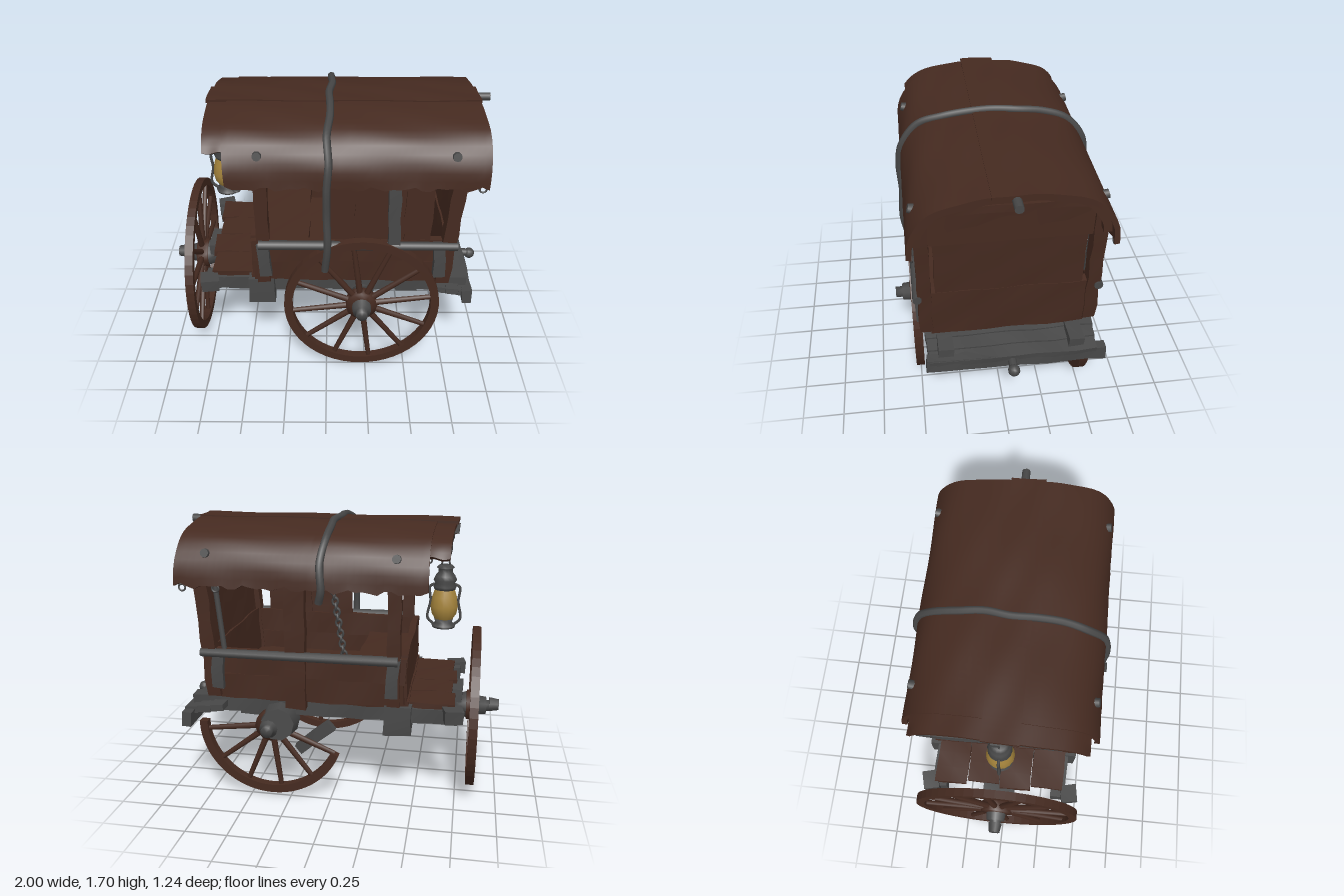
import * as THREE from 'three';

const wood = new THREE.MeshStandardMaterial({ name: 'dark red wood', color: 0x452a20 });
const iron = new THREE.MeshStandardMaterial({ name: 'grey weathered timber and iron', color: 0x474747 });
const glass = new THREE.MeshStandardMaterial({ name: 'amber glass', color: 0xa5843c, side: THREE.DoubleSide });
const V = (x, y, z) => new THREE.Vector3(x, y, z);

function add(parent, name, geo, mat) {
  const m = new THREE.Mesh(geo, mat);
  m.name = name;
  parent.add(m);
  return m;
}

// Weathered plank: a box whose outline wavers along its length
function plank(parent, name, mat, [x, y, z], [sx, sy, sz], rot = [0, 0, 0], wear = 0.004) {
  const n = s => Math.max(1, Math.round(s / 0.12));
  const geo = new THREE.BoxGeometry(sx, sy, sz, n(sx), n(sy), n(sz));
  const p = geo.attributes.position;
  for (let i = 0; i < p.count; i++) {
    const a = p.getX(i), b = p.getY(i), c = p.getZ(i);
    const w = k => wear * Math.sin(17 * (a + x) * k + 23 * (b + y) + 13 * (c + z) * k + k * 3);
    p.setXYZ(i, a + w(1), b + w(1.3), c + w(0.7));
  }
  geo.computeVertexNormals();
  const m = add(parent, name, geo, mat);
  m.position.set(x, y, z);
  m.rotation.set(...rot);
  return m;
}

function tube(parent, name, mat, pts, r, sides = 7) {
  const curve = new THREE.CatmullRomCurve3(pts);
  return add(parent, name, new THREE.TubeGeometry(curve, pts.length * 6, r, sides), mat);
}

// Round bar between two points, with closed ends
function bar(parent, name, mat, a, b, r, r2 = r, sides = 9) {
  const m = add(parent, name, new THREE.CylinderGeometry(r2, r, a.distanceTo(b), sides), mat);
  m.position.copy(a).add(b).multiplyScalar(0.5);
  m.quaternion.setFromUnitVectors(V(0, 1, 0), b.clone().sub(a).normalize());
  return m;
}

function lathe(parent, name, mat, pts, sides = 14) {
  return add(parent, name, new THREE.LatheGeometry(pts.map(p => new THREE.Vector2(...p)), sides), mat);
}

// Spoked wheel facing +z; a partial arc gives a broken one
function wheel(parent, name, R, from = 0, arc = Math.PI * 2) {
  const g = new THREE.Group();
  g.name = name;
  const s = new THREE.Shape();
  s.absarc(0, 0, R, from, from + arc, false);
  s.absarc(0, 0, R - 0.05, from + arc, from, true);
  const rim = new THREE.ExtrudeGeometry(s, { depth: 0.05, bevelEnabled: false, curveSegments: 26 });
  add(g, 'rim', rim.translate(0, 0, -0.025), wood);
  for (let i = 0; i < 12; i++) {
    const a = 0.13 + i * Math.PI / 6;
    if (arc < 6 && (a < from || a > from + arc)) continue;
    const d = V(Math.cos(a), Math.sin(a), 0);
    bar(g, 'spoke', wood, d.clone().multiplyScalar(0.05), d.clone().multiplyScalar(R - 0.03), 0.02, 0.015, 7);
  }
  lathe(g, 'hub', iron, [[0, -0.12], [0.06, -0.12], [0.085, -0.04], [0.085, 0.02], [0.06, 0.03],
    [0.055, 0.08], [0.035, 0.085], [0.035, 0.125], [0, 0.125]], 12).rotation.x = Math.PI / 2;
  lathe(g, 'hubCollar', wood, [[0.08, -0.045], [0.095, -0.04], [0.095, 0.03], [0.055, 0.035]], 12).rotation.x = Math.PI / 2;
  parent.add(g);
  return g;
}

// Arched roof section, from the front eave over to the back eave
const arch = new THREE.CatmullRomCurve3([V(0, 1.33, 0.515), V(0, 1.46, 0.495), V(0, 1.57, 0.42), V(0, 1.635, 0.24),
  V(0, 1.655, -0.03), V(0, 1.635, -0.29), V(0, 1.57, -0.46), V(0, 1.46, -0.54), V(0, 1.33, -0.56)]);

// Sheet bent over the arch, between t0 and t1, with torn eaves
function archSheet(parent, name, x0, x1, t0, t1, thick, lift, tear) {
  const geo = new THREE.BoxGeometry(x1 - x0, 1, thick, 36, 30, 1);
  const p = geo.attributes.position;
  for (let i = 0; i < p.count; i++) {
    const x = p.getX(i) + (x0 + x1) / 2, k = p.getY(i) + 0.5;
    const t = t0 + (t1 - t0) * k;
    const c = arch.getPointAt(t), d = arch.getTangentAt(t);
    const o = p.getZ(i) + lift + 0.005 * Math.sin(9 * x + 14 * t) * Math.sin(21 * t);
    const edge = Math.max(0, Math.abs(k - 0.5) - 0.45) * 20;
    const rag = tear * edge * (Math.sin(31 * x) + Math.sin(53 * x + 1));
    const wav = 0.012 * Math.sin(6 * t + x) * Math.sign(x - 0.1);
    p.setXYZ(i, x + wav, c.y - d.z * o + rag, c.z + d.y * o);
  }
  geo.computeVertexNormals();
  return add(parent, name, geo, wood);
}

export function createModel() {
  const wagon = new THREE.Group();
  wagon.name = 'wagon';

  // Wheels: two side wheels, the back one broken, and one at the nose
  wheel(wagon, 'frontWheel', 0.475).position.set(0.215, 0.5, 0.5);
  const broken = wheel(wagon, 'brokenBackWheel', 0.45, Math.PI, 2.75);
  broken.position.set(0.365, 0.47, -0.49);
  broken.rotation.y = Math.PI;
  bar(wagon, 'backHubHousing', iron, V(0.32, 0.49, -0.43), V(0.31, 0.5, -0.56), 0.12, 0.1);
  const nose = wheel(wagon, 'noseWheel', 0.5);
  nose.position.set(-0.84, 0.5, -0.035);
  nose.rotation.y = -Math.PI / 2;
  nose.scale.x = 1.05;
  bar(wagon, 'noseAxleTip', iron, V(-0.94, 0.51, -0.035), V(-1, 0.51, -0.035), 0.045, 0.035);

  // Undercarriage
  bar(wagon, 'axle', iron, V(0.215, 0.5, 0.48), V(0.31, 0.5, -0.48), 0.07);
  bar(wagon, 'centrePole', iron, V(-0.82, 0.52, -0.035), V(0.8, 0.52, -0.035), 0.05);
  for (const z of [0.35, -0.41]) plank(wagon, 'sideSill', iron, [0.06, 0.575, z], [1.62, 0.09, 0.09]);
  plank(wagon, 'noseBolster', iron, [-0.4, 0.55, -0.03], [0.16, 0.18, 0.95]);
  plank(wagon, 'rearBolster', iron, [0.5, 0.56, -0.03], [0.14, 0.1, 0.84]);
  plank(wagon, 'noseBeam', iron, [-0.62, 0.59, -0.03], [0.3, 0.08, 0.2]);
  for (const z of [0.42, -0.47]) plank(wagon, 'sillEnd', iron, [-0.72, 0.6, z], [0.11, 0.08, 0.1], [0, 0.2, 0]);
  plank(wagon, 'brokenBeam', iron, [0.11, 0.38, -0.43], [0.27, 0.07, 0.05], [0, 0, -0.7]);
  tube(wagon, 'hook', iron, [V(0.56, 0.52, -0.03), V(0.53, 0.43, 0), V(0.47, 0.38, -0.04), V(0.43, 0.29, -0.02)], 0.024);

  // Rear step
  for (let i = 0; i < 3; i++) plank(wagon, 'stepBoard', iron, [0.69 + i * 0.085, 0.575 - i * 0.016, -0.04], [0.084, 0.04, 1.0 - i * 0.01], [0, 0, -0.1]);
  plank(wagon, 'bumper', iron, [0.87, 0.515, -0.06], [0.06, 0.085, 1.05], [-0.02, 0, 0]);
  bar(wagon, 'poleTip', iron, V(0.88, 0.515, -0.03), V(0.95, 0.51, -0.03), 0.025);
  add(wagon, 'poleKnob', new THREE.SphereGeometry(0.036, 10, 8), iron).position.set(0.963, 0.505, -0.03);

  // Cabin floor, driver's footboard and low walls
  plank(wagon, 'floor', wood, [0.12, 0.645, -0.03], [1.16, 0.04, 0.9]);
  for (let i = 0; i < 4; i++) plank(wagon, 'footboard', wood, [-0.58, 0.635, -0.34 + i * 0.205], [0.3 - (i % 2) * 0.05, 0.035, 0.2]);
  for (const z of [0.435, -0.495]) {
    plank(wagon, 'lowerSideBoard', wood, [0.13, 0.72, z], [1.13, 0.15, 0.035], [0, 0, -0.01]);
    plank(wagon, 'upperSideBoard', wood, [0.13, 0.865, z], [1.15, 0.15, 0.04], [0, 0, 0.01]);
  }
  plank(wagon, 'noseBoard', wood, [-0.43, 0.79, -0.03], [0.04, 0.32, 0.9]);
  plank(wagon, 'bench', wood, [-0.26, 0.8, -0.03], [0.3, 0.04, 0.86]);

  // Rear end: low board, tall panel under the arch, and frame
  plank(wagon, 'tailBoard', wood, [0.715, 0.79, -0.025], [0.05, 0.33, 0.9], [0, 0, -0.05]);
  plank(wagon, 'tailPanel', wood, [0.745, 1.24, -0.025], [0.035, 0.62, 0.83], [0, 0, -0.06]);
  const gable = new THREE.Shape();
  arch.getPoints(24).forEach((c, i) => {
    const z = -0.03 + (c.z + 0.03) * 0.94, y = c.y - 0.02;
    i ? gable.lineTo(-z, y) : gable.moveTo(-z, y);
  });
  const gableGeo = new THREE.ExtrudeGeometry(gable, { depth: 0.03, bevelEnabled: false }).rotateY(Math.PI / 2);
  add(wagon, 'gable', gableGeo, wood).position.x = 0.745;
  plank(wagon, 'gableRail', wood, [0.79, 1.545, -0.03], [0.04, 0.045, 0.8]);
  archSheet(wagon, 'rearArchFrame', 0.77, 0.84, 0.03, 0.97, 0.05, -0.035, 0);

  // Corner and middle posts
  for (const z of [0.45, -0.505]) {
    plank(wagon, 'nosePost', wood, [-0.375, 1.06, z], [0.075, 0.82, 0.07]);
    plank(wagon, 'rearPost', wood, [0.73, 1.06, z], [0.08, 0.82, 0.075], [0, 0, -0.07]);
  }
  plank(wagon, 'backMiddlePost', wood, [0.2, 1.02, -0.51], [0.12, 0.84, 0.06]);
  for (let i = 0; i < 4; i++) plank(wagon, 'wallPlank', wood, [0.1 + i * 0.145, 1.15, 0.43 + (i % 2) * 0.012], [0.16, 0.55, 0.025], [0, 0, -0.01]);

  // Side rails and their brackets
  for (const [z, out] of [[0.49, 1], [-0.535, -1]]) {
    bar(wagon, 'rail', iron, V(-0.4, 0.93, z), V(0.77, 0.925, z), 0.03, 0.026);
    for (const x of [-0.37, 0.67]) plank(wagon, 'railBracket', iron, [x, 0.82, z - out * 0.015], [0.07, 0.23, 0.055], [0, 0, 0.05]);
  }
  plank(wagon, 'greyPost', iron, [0.39, 1.13, 0.485], [0.07, 0.46, 0.045], [0, 0, 0.03]);
  bar(wagon, 'windowStay', iron, V(0.64, 0.94, -0.49), V(0.68, 1.36, -0.49), 0.016);

  // Roof covering, ridge sheet and nose hood
  archSheet(wagon, 'roof', -0.57, 0.89, 0, 1, 0.03, 0, 0.009);
  archSheet(wagon, 'ridgeSheet', -0.69, 0.9, 0.42, 0.56, 0.02, 0.012, 0);
  archSheet(wagon, 'noseHood', -0.68, -0.5, 0.14, 0.86, 0.022, -0.004, 0.004);
  bar(wagon, 'ridgePole', iron, V(0.78, 1.645, -0.03), V(0.965, 1.645, -0.03), 0.025);
  plank(wagon, 'noseCrossbar', iron, [-0.63, 1.545, -0.03], [0.075, 0.05, 0.86]);
  for (const x of [-0.38, 0.71]) for (const [z, out] of [[0.485, 1], [-0.53, -1]])
    bar(wagon, 'roofBolt', iron, V(x, 1.505, z - out * 0.04), V(x, 1.52, z + out * 0.018), 0.03, 0.025);
  for (const [x, z] of [[0.87, 0.5], [-0.5, 0.5], [0.65, -0.56], [0.85, -0.56]])
    add(wagon, 'eaveRing', new THREE.TorusGeometry(0.02, 0.006, 6, 12), iron).position.set(x, 1.32, z);

  // Strap over the roof, and the chain at the back
  const strap = [V(-0.01, 0.76, 0.51), V(0.005, 0.95, 0.54), V(0, 1.15, 0.53)];
  for (let i = 0; i <= 10; i++) {
    const c = arch.getPointAt(i / 10), d = arch.getTangentAt(i / 10);
    strap.push(V(0.004 * i + 0.008 * Math.sin(i * 2.3), c.y - d.z * 0.022, c.z + d.y * 0.022));
  }
  strap.push(V(0.05, 1.26, -0.565));
  tube(wagon, 'roofStrap', iron, strap, 0.023);
  for (let i = 0; i < 13; i++) {
    const link = add(wagon, 'chainLink', new THREE.TorusGeometry(0.016, 0.007, 5, 10), iron);
    link.position.set(-0.03 - 0.005 * i, 1.33 - i * 0.031, -0.53);
    link.scale.y = 1.3;
    link.rotation.y = (i % 2) * Math.PI / 2;
  }

  // Hanging lantern
  const lantern = new THREE.Group();
  lantern.name = 'lantern';
  lantern.position.set(-0.63, 0, -0.02);
  wagon.add(lantern);
  lathe(lantern, 'base', iron, [[0, 1.005], [0.07, 1.005], [0.075, 1.02], [0.05, 1.035], [0.06, 1.06], [0, 1.06]]);
  lathe(lantern, 'globe', glass, [[0.05, 1.05], [0.076, 1.09], [0.085, 1.14], [0.075, 1.2], [0.055, 1.26]], 16);
  lathe(lantern, 'cap', iron, [[0, 1.245], [0.065, 1.245], [0.072, 1.265], [0.06, 1.285], [0.072, 1.305], [0.06, 1.33], [0.045, 1.35],
    [0.045, 1.375], [0.055, 1.38], [0.04, 1.395], [0, 1.395]]);
  for (const s of [-1, 1]) {
    tube(lantern, 'sideArm', iron, [V(s * 0.06, 1.02, 0), V(s * 0.1, 1.06, 0), V(s * 0.085, 1.17, 0), V(s * 0.09, 1.26, 0), V(s * 0.05, 1.28, 0)], 0.009, 6);
    tube(lantern, 'hanger', iron, [V(s * 0.03, 1.38, 0), V(s * 0.01, 1.46, 0), V(0, 1.54, 0)], 0.006, 5);
  }
  plank(wagon, 'lanternBracket', iron, [-0.68, 1.62, -0.03], [0.05, 0.05, 0.05]);

  return wagon;
}
